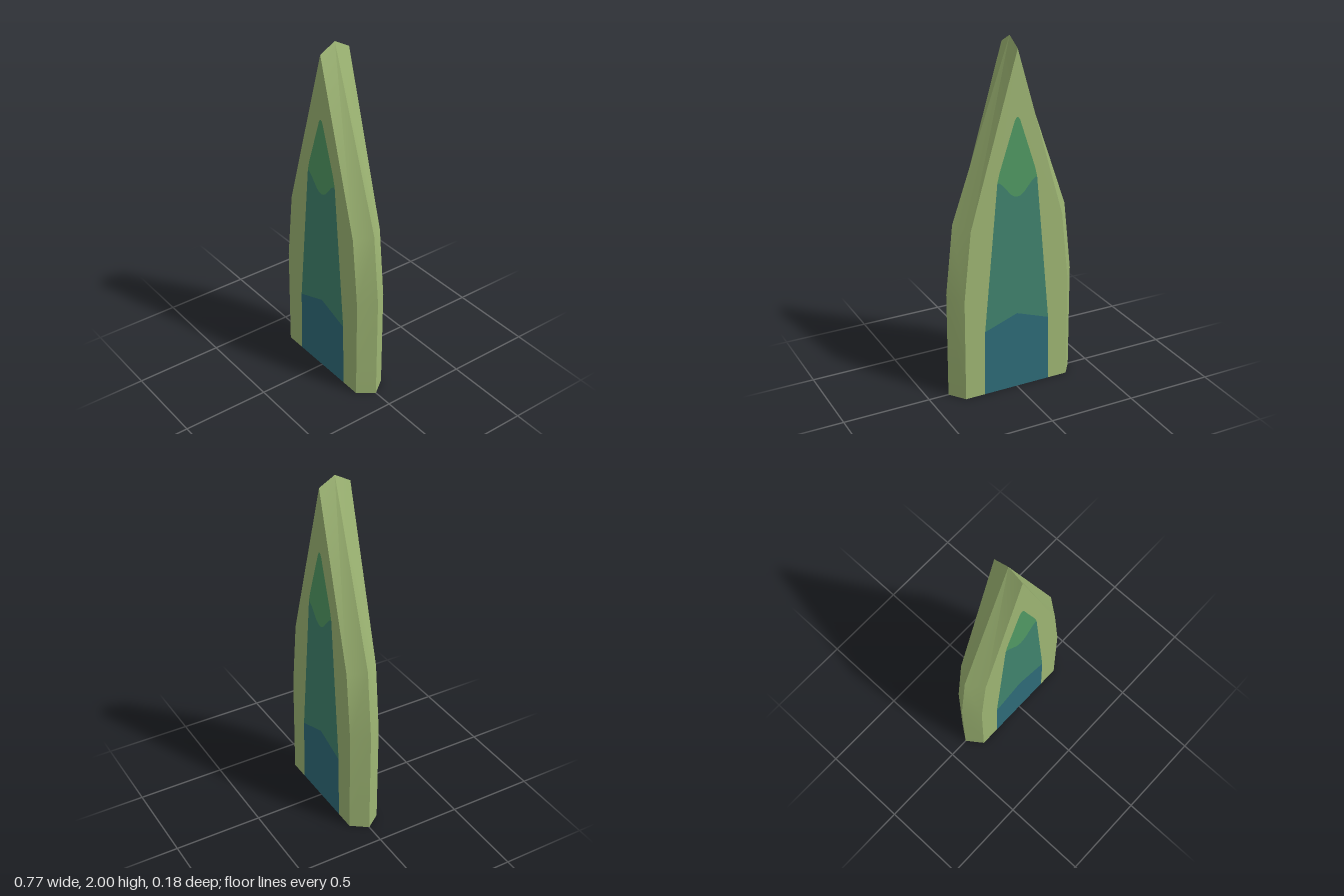
import * as THREE from 'three';
import { toCreasedNormals } from 'three/addons/utils/BufferGeometryUtils.js';

const DEPTH = 0.09; // half thickness

// right-hand half outlines, listed from the bottom up
const ridge = [[0.383, 0], [0.383, 0.62], [0.34, 1.02], [0, 2]];
const rim = [[0.317, 0], [0.317, 0.6], [0.275, 1.0], [0, 1.95]];
const baseSide = [[0.2, 0], [0.196, 0.39]];
const baseTop = [[0, 0.46]];
const notch = [[0.118, 1.245], [0.108, 1.243], [0.09, 1.23], [0.037, 1.167], [0.018, 1.154], [0, 1.15]];
const tip = [[0.118, 1.245], [0.105, 1.3], [0.016, 1.572], [0.008, 1.586], [0, 1.59]];

// right half going up, then its mirror image coming down
const mirrored = (half) => [
  ...half,
  ...half.filter(([x]) => x > 0).reverse().map(([x, y]) => [-x, y]),
];

function plate(points) {
  return new THREE.ShapeGeometry(new THREE.Shape(points.map(([x, y]) => new THREE.Vector2(x, y))));
}

// slanted bands joining both faces to the central ridge
function bevelGeometry() {
  const pos = [];
  for (const s of [1, -1]) {
    for (const f of [1, -1]) {
      for (let i = 0; i < rim.length - 1; i++) {
        const inner = (k) => [s * rim[k][0], rim[k][1], f * DEPTH];
        const outer = (k) => [s * ridge[k][0], ridge[k][1], 0];
        const tris = [
          [inner(i), outer(i), outer(i + 1)],
          [inner(i), outer(i + 1), inner(i + 1)],
        ];
        for (const t of tris) {
          if (s * f < 0) t.reverse();
          pos.push(...t.flat());
        }
      }
    }
  }
  const g = new THREE.BufferGeometry();
  g.setAttribute('position', new THREE.Float32BufferAttribute(pos, 3));
  return toCreasedNormals(g, THREE.MathUtils.degToRad(45));
}

export function createModel() {
  const material = (name, color) =>
    new THREE.MeshStandardMaterial({ name, color, side: THREE.DoubleSide });
  const lightGreen = material('light green', 0x9db573);
  const leafGreen = material('leaf green', 0x509963);
  const teal = material('teal', 0x40836d);
  const blue = material('deep blue', 0x2e6b78);

  const model = new THREE.Group();
  model.name = 'pointedBlade';

  const add = (parent, name, geometry, mat) => {
    const mesh = new THREE.Mesh(geometry, mat);
    mesh.name = name;
    parent.add(mesh);
  };

  add(model, 'bevel', bevelGeometry(), lightGreen);

  // flat face: border arch around three coloured inlays, open underneath
  const inlay = mirrored([...baseSide, ...tip]);
  const border = [...mirrored(rim), ...inlay.reverse()];
  const base = mirrored([...baseSide, ...baseTop]);
  const middle = [
    ...mirrored([baseSide[1], ...notch]),
    ...baseTop,
  ];
  const point = [
    ...mirrored(tip),
    ...mirrored(notch).reverse().slice(1, -1),
  ];

  for (const [name, turn] of [['frontFace', 0], ['backFace', Math.PI]]) {
    const face = new THREE.Group();
    face.name = name;
    add(face, 'border', plate(border), lightGreen);
    add(face, 'baseInlay', plate(base), blue);
    add(face, 'middleInlay', plate(middle), teal);
    add(face, 'pointInlay', plate(point), leafGreen);
    for (const mesh of face.children) mesh.position.z = DEPTH;
    face.rotation.y = turn;
    model.add(face);
  }

  return model;
}
